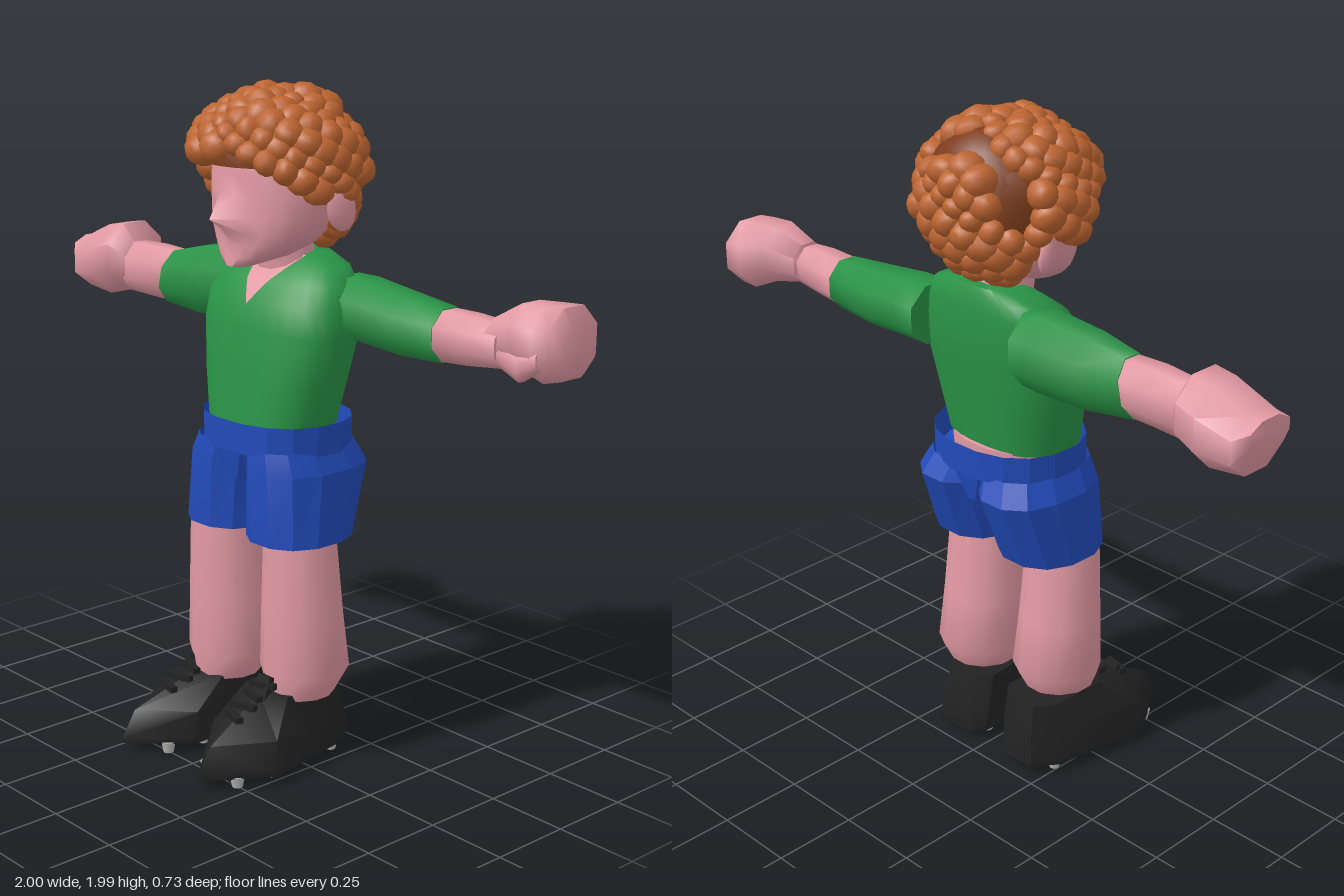
import * as THREE from 'three';
import { mergeGeometries, toCreasedNormals } from 'three/addons/utils/BufferGeometryUtils.js';

const mat = (name, color, side = THREE.FrontSide) => {
  const m = new THREE.MeshStandardMaterial({ color, side });
  m.name = name;
  return m;
};

// Skin a stack of equal-length point rings; winding is corrected by signed volume
function loft(rings, { caps = true, crease = 0.95 } = {}) {
  const n = rings[0].length, pos = rings.flat(2), tris = [];
  for (let r = 0; r < rings.length - 1; r++) for (let i = 0; i < n; i++) {
    const a = r * n + i, b = r * n + (i + 1) % n;
    tris.push([a, b, b + n], [a, b + n, a + n]);
  }
  if (caps) [0, rings.length - 1].forEach((r, end) => {
    const c = pos.length / 3;
    for (let k = 0; k < 3; k++) pos.push(rings[r].reduce((s, p) => s + p[k], 0) / n);
    for (let i = 0; i < n; i++) {
      const a = r * n + i, b = r * n + (i + 1) % n;
      tris.push(end ? [a, b, c] : [b, a, c]);
    }
  });
  const v0 = new THREE.Vector3().fromArray(pos, 0);
  const v = (i) => new THREE.Vector3().fromArray(pos, i * 3).sub(v0);
  const volume = tris.reduce((s, [a, b, c]) => s + v(a).dot(v(b).cross(v(c))), 0);
  const g = new THREE.BufferGeometry();
  g.setAttribute('position', new THREE.Float32BufferAttribute(pos, 3));
  g.setIndex(tris.flatMap(([a, b, c]) => (volume < 0 ? [a, c, b] : [a, b, c])));
  return toCreasedNormals(g, crease);
}
const power = (c, p) => Math.sign(c) * Math.abs(c) ** (2 / p);
const angles = (n) => Array.from({ length: n }, (_, i) => ((i + 0.5) / n) * Math.PI * 2);
// Horizontal ring: height, centre x, half width, front z, back z
const ringY = (n, p = 2) => ([y, cx, rx, zf, zb]) => angles(n).map((a) =>
  [cx + rx * power(Math.cos(a), p), y, (zf + zb) / 2 + ((zf - zb) / 2) * power(Math.sin(a), p)]);
// Ring across an arm: x, centre y, centre z, half height, half depth, slant of the cut
const ringX = (n) => ([x, cy, cz, ry, rz, slant = 0]) => angles(n).map((a) =>
  [x + slant * Math.cos(a), cy + ry * 1.06 * Math.cos(a), cz + rz * 1.06 * Math.sin(a)]);

export function createModel() {
  const model = new THREE.Group();
  const skin = mat('skin pink', 0xe299a3, THREE.DoubleSide);
  const green = mat('shirt green', 0x299346);
  const blue = mat('shorts blue', 0x224bba, THREE.DoubleSide);
  const black = mat('boot black', 0x222222);
  const metal = mat('stud grey', 0xb4b4b4);
  const ginger = mat('hair ginger', 0xbc6430);
  const brown = mat('scalp brown', 0x7c3c1c);
  const add = (name, geometry, material, x = 0, y = 0, z = 0) => {
    const m = new THREE.Mesh(geometry, material);
    m.name = name;
    m.position.set(x, y, z);
    model.add(m);
    return m;
  };

  // Shirt body
  const torso = [
    [1.02, 0.01, 0.205, 0.09, -0.2], [1.15, 0.01, 0.24, 0.077, -0.215],
    [1.3, 0.012, 0.27, 0.058, -0.235], [1.38, 0.012, 0.264, 0.04, -0.24],
    [1.44, 0.01, 0.242, 0, -0.237], [1.485, 0.01, 0.2, -0.06, -0.232],
    [1.515, 0.01, 0.11, -0.1, -0.22],
  ];
  add('shirt', loft(torso.map(ringY(28, 2.5))), green);

  // Skin showing in the V neck, laid just over the shirt front
  const shirtFront = (x, y) => {
    const i = Math.max(0, torso.findIndex((s) => s[0] > y) - 1);
    const [a, b] = [torso[i], torso[i + 1]];
    const s = a.map((q, k) => THREE.MathUtils.lerp(q, b[k], (y - a[0]) / (b[0] - a[0])));
    const side = Math.min(1, Math.abs((x - s[1]) / s[2]));
    return (s[3] + s[4]) / 2 + ((s[3] - s[4]) / 2) * (1 - side ** 2.5) ** 0.4;
  };
  const vNeck = new THREE.PlaneGeometry(1, 1, 8, 10), vp = vNeck.attributes.position;
  for (let i = 0; i < vp.count; i++) {
    const t = vp.getY(i) + 0.5, y = 1.375 + 0.135 * t;
    const x = 0.015 + vp.getX(i) * 0.18 * t;
    vp.setXYZ(i, x, y, shirtFront(x, y) + 0.008);
  }
  vNeck.computeVertexNormals();
  add('neckline', vNeck, skin);
  add('waist', loft([[0.98, 0.01, 0.19, 0.1, -0.215], [1.025, 0.01, 0.19, 0.1, -0.215]].map(ringY(16, 2.2))), skin);
  add('neck', loft([[1.44, 0.01, 0.1, -0.03, -0.2], [1.58, 0, 0.09, -0.01, -0.18]].map(ringY(12))), skin);

  // Head, with the front pulled out smoothly into a pointed nose
  const head = [
    [1.488, 0, 0.04, 0.1, 0.02], [1.515, 0, 0.1, 0.098, -0.1],
    [1.55, 0, 0.148, 0.092, -0.17], [1.585, 0, 0.176, 0.088, -0.2], [1.628, 0, 0.193, 0.085, -0.22],
    [1.69, 0, 0.203, 0.083, -0.24], [1.75, 0, 0.203, 0.083, -0.25],
    [1.83, 0, 0.18, 0.075, -0.25], [1.89, 0, 0.12, 0.03, -0.2],
  ].map(ringY(22, 2.2)).map((ring) => ring.map(([x, y, z]) => {
    const pull = z > 0 ? Math.max(0, 1 - Math.abs(x) / 0.07) * Math.max(0, 1 - Math.abs(y - 1.628) / 0.06) : 0;
    return [x, y, z + 0.087 * pull];
  }));
  add('head', loft(head, { crease: 1.6 }), skin);
  for (const s of [-1, 1]) {
    const ear = add('ear', new THREE.SphereGeometry(1, 10, 8), skin, s * 0.205, 1.657, -0.137);
    ear.scale.set(0.024, 0.074, 0.045);
    ear.rotation.set(0.25, s * -0.4, 0);
  }

  // Scalp: upper cap and back of the head
  add('scalpCap', new THREE.SphereGeometry(1, 24, 10, 0, Math.PI * 2, 0, Math.PI / 2)
    .scale(0.226, 0.192, 0.226), brown, 0, 1.775, -0.09);
  add('scalpBack', new THREE.SphereGeometry(1, 20, 14).scale(0.198, 0.21, 0.148), brown, 0, 1.75, -0.17);

  // Curls spread over the scalp in a spiral, leaving a parting near the back
  const curls = [], count = 215;
  for (let i = 0; i < count; i++) {
    const h = 1 - (2 * (i + 0.5)) / count, r = Math.sqrt(1 - h * h), a = i * 2.39996;
    const x = 0.23 * r * Math.cos(a), z = -0.09 + 0.226 * r * Math.sin(a);
    const y = 1.768 + h * (h > 0 ? 0.185 : 0.238);
    const hairline = z > 0.04 ? 1.82 - 0.3 * Math.abs(x) : z > -0.03 ? 1.735 : z > -0.16 ? 1.69 : 1.53;
    const parting = Math.abs(z + 0.232) < 0.038 && y > 1.69;
    if (y < hairline || parting) continue;
    const size = 0.046 + 0.008 * Math.sin(i * 5.3);
    curls.push(new THREE.SphereGeometry(size, 10, 7).scale(1.1, 0.9, 1).rotateX(i).rotateY(i * 2).translate(x, y, z));
  }
  add('curls', mergeGeometries(curls), ginger);

  // Arms: sleeve, forearm and fist, given from shoulder to hand
  const arm = (name, rings, material) => add(name, loft(rings.map(ringX(8))), material);
  arm('rightSleeve', [[-0.18, 1.375, -0.17, 0.11, 0.1], [-0.24, 1.375, -0.17, 0.113, 0.1],
    [-0.4, 1.362, -0.155, 0.106, 0.088], [-0.535, 1.355, -0.142, 0.084, 0.07, 0.02]], green);
  arm('rightForearm', [[-0.49, 1.355, -0.142, 0.08, 0.066], [-0.62, 1.358, -0.145, 0.082, 0.07],
    [-0.76, 1.355, -0.155, 0.08, 0.064]], skin);
  arm('rightFist', [[-0.725, 1.355, -0.155, 0.07, 0.06], [-0.78, 1.385, -0.165, 0.105, 0.11],
    [-0.85, 1.365, -0.168, 0.115, 0.117], [-0.96, 1.347, -0.165, 0.085, 0.11],
    [-0.998, 1.385, -0.165, 0.04, 0.08]], skin);
  arm('leftSleeve', [[0.2, 1.37, -0.18, 0.09, 0.1], [0.28, 1.37, -0.18, 0.09, 0.1],
    [0.45, 1.355, -0.175, 0.086, 0.09], [0.605, 1.35, -0.17, 0.076, 0.072]], green);
  arm('leftForearm', [[0.58, 1.35, -0.17, 0.073, 0.07], [0.7, 1.355, -0.165, 0.07, 0.066],
    [0.82, 1.358, -0.165, 0.06, 0.055]], skin);
  arm('leftFist', [[0.78, 1.37, -0.175, 0.06, 0.06], [0.86, 1.39, -0.205, 0.09, 0.085],
    [0.93, 1.375, -0.225, 0.105, 0.105], [0.975, 1.38, -0.24, 0.1, 0.1],
    [0.998, 1.36, -0.24, 0.06, 0.065]], skin);
  arm('leftThumb', [[0.8, 1.345, -0.15, 0.035, 0.03], [0.89, 1.32, -0.145, 0.045, 0.03],
    [0.95, 1.345, -0.15, 0.03, 0.025]], skin);

  // Shorts: open waistband, seat and two flared legs
  add('waistband', loft([[0.95, 0.01, 0.232, 0.117, -0.267], [1.04, 0.01, 0.232, 0.117, -0.269]]
    .map(ringY(16, 2.3)), { caps: false, crease: 0.3 }), blue);
  add('shortsSeat', loft([[0.86, 0.004, 0.06, 0.09, -0.24], [0.97, 0.007, 0.215, 0.112, -0.26]]
    .map(ringY(16, 2.3)), { crease: 0.3 }), blue);
  for (const s of [-1, 1]) {
    add(s < 0 ? 'rightShortsLeg' : 'leftShortsLeg', loft([
      [0.965, 0.007 + s * 0.105, 0.122, 0.102, -0.25], [0.9, 0.005 + s * 0.123, 0.136, 0.112, -0.284],
      [0.69, 0.005 + s * 0.134, 0.138, 0.11, -0.205],
    ].map(ringY(12, 2.3)), { caps: false, crease: 0.3 }), blue);
  }

  for (const s of [-1, 1]) {
    const side = s < 0 ? 'right' : 'left', dz = s < 0 ? 0.048 : 0, shift = s < 0 ? 0 : -0.045;
    // Bare leg
    add(side + 'Leg', loft([
      [0.85, 0.105, 0.05, -0.14], [0.68, 0.12, 0.054, -0.15], [0.45, 0.13, 0.06, -0.178],
      [0.28, 0.14, 0.062, -0.203], [0.2, 0.098, 0.052, -0.162],
    ].map(([y, rx, zf, zb]) => ringY(12, 1.9)([y, s * 0.138 + 0.004, rx, zf + dz, zb + dz]))), skin);

    // Boot: outline from toe around the inner side, heel and outer side
    const place = (y) => ([x, z]) => [s * x + shift, y, z];
    const sole = [[0.2, 0.36], [0.05, 0.2], [0.06, -0.18], [0.1, -0.22], [0.22, -0.22], [0.27, -0.15], [0.327, 0.16]];
    const middle = [[0.2, 0.31], [0.06, 0.18], [0.055, -0.17], [0.1, -0.21], [0.21, -0.21], [0.265, -0.13], [0.3, 0.14]];
    const collar = [[0.16, 0.085], [0.07, 0.06], [0.055, -0.15], [0.1, -0.19], [0.2, -0.19], [0.24, -0.13], [0.245, 0.05]];
    add(side + 'Boot', loft([
      sole.map(place(0.03)), sole.map(place(0.045)), middle.map(place(0.125)), collar.map(place(0.22)),
    ], { crease: 0.8 }), black);

    // Laces and tongue
    const laces = [0, 1, 2, 3].map((i) => new THREE.BoxGeometry(0.085, 0.018, 0.022)
      .rotateY(i % 2 ? 0.25 : -0.25).translate(s * (0.175 - i * 0.004) + shift, 0.182 + i * 0.02, 0.2 - i * 0.042));
    laces.push(new THREE.BoxGeometry(0.05, 0.07, 0.02).rotateX(-0.3)
      .translate(s * 0.165 + shift, 0.235, 0.072));
    add(side + 'Laces', mergeGeometries(laces), black);

    // Studs under the sole
    const studs = [[0.25, 0.115, 0.25], [0.26, 0.1, 0.125], [0.235, 0.1, -0.135]].flatMap(([outer, inner, z]) =>
      [outer, inner].map((x) => new THREE.CylinderGeometry(0.022, 0.016, 0.034, 8).translate(s * x + shift, 0.017, z)));
    add(side + 'Studs', mergeGeometries(studs), metal);
  }
  return model;
}
